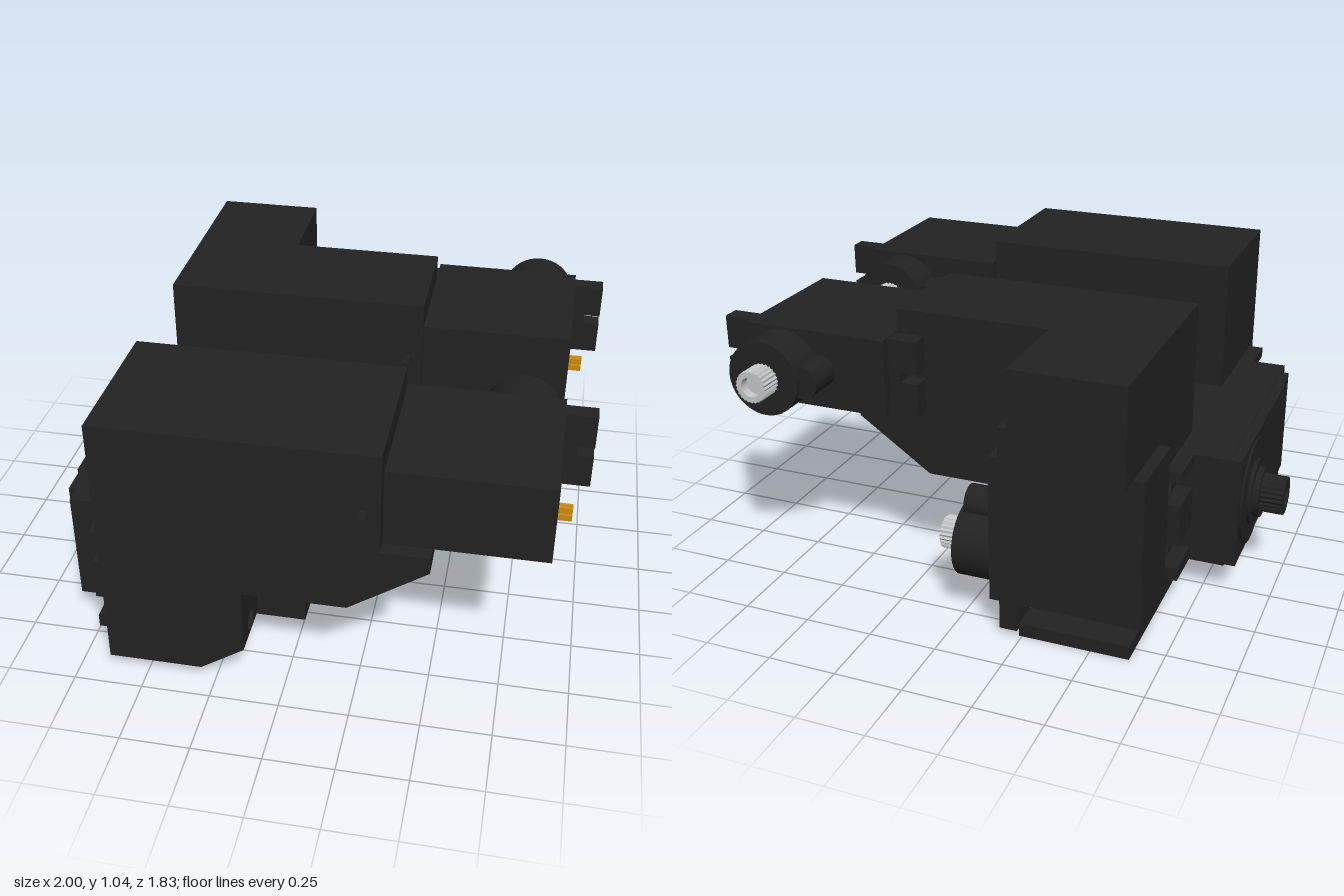
import * as THREE from 'three';

const black = new THREE.MeshStandardMaterial({ color: 0x222222 });
black.name = 'matte black';
const silver = new THREE.MeshStandardMaterial({ color: 0xc4c8c8 });
silver.name = 'silver';
const gold = new THREE.MeshStandardMaterial({ color: 0xd08c10 });
gold.name = 'gold';

function add(parent, name, geometry, material = black) {
  const mesh = new THREE.Mesh(geometry, material);
  mesh.name = name;
  parent.add(mesh);
  return mesh;
}

// Box given by its limits on each axis
function box(parent, name, [x0, x1], [y0, y1], [z0, z1], material) {
  const g = new THREE.BoxGeometry(x1 - x0, y1 - y0, z1 - z0);
  g.translate((x0 + x1) / 2, (y0 + y1) / 2, (z0 + z1) / 2);
  return add(parent, name, g, material);
}

function makeShape(points, holes = []) {
  const shape = new THREE.Shape(points.map(([x, y]) => new THREE.Vector2(x, y)));
  for (const [x, y, r] of holes) {
    shape.holes.push(new THREE.Path().absarc(x, y, r, 0, Math.PI * 2, true));
  }
  return shape;
}

// Side profile extruded from z0 to z1
function prism(parent, name, points, z0, z1, holes) {
  const g = new THREE.ExtrudeGeometry(makeShape(points, holes), { depth: z1 - z0, bevelEnabled: false, curveSegments: 16 });
  return add(parent, name, g.translate(0, 0, z0));
}

// Band running along x whose far end slopes from xLow to xHigh, with optional bolt hole
function slopedBand(parent, name, [y0, y1], [z0, z1], xLow, xHigh, hole) {
  const shape = makeShape([[-z1, y0], [-z0, y0], [-z0, y1], [-z1, y1]],
    hole ? [[-hole[0], hole[1], 0.043]] : []);
  const g = new THREE.ExtrudeGeometry(shape, { depth: 1, bevelEnabled: false, curveSegments: 16 });
  g.rotateY(Math.PI / 2);
  const p = g.attributes.position;
  for (let i = 0; i < p.count; i++) {
    const t = (p.getY(i) - y0) / (y1 - y0);
    p.setX(i, p.getX(i) > 0.5 ? xLow + (xHigh - xLow) * t : -0.64);
  }
  g.computeVertexNormals();
  return add(parent, name, g);
}

// Knurled hollow connector pointing along -z from the origin
function connector(length, r, material) {
  const group = new THREE.Group();
  group.name = 'connector';
  const teeth = 24, points = [];
  for (let i = 0; i < teeth * 2; i++) {
    const a = (i / (teeth * 2)) * Math.PI * 2, rr = i % 2 ? r * 0.92 : r;
    points.push([Math.cos(a) * rr, Math.sin(a) * rr]);
  }
  const g = new THREE.ExtrudeGeometry(makeShape(points, [[0, 0, r * 0.62]]), { depth: length, bevelEnabled: false });
  add(group, 'knurledRing', g.translate(0, 0, -length), material);
  const core = new THREE.CylinderGeometry(r * 0.65, r * 0.65, length * 0.6, 24).rotateX(Math.PI / 2);
  add(group, 'connectorCore', core.translate(0, 0, -length * 0.3), material);
  return group;
}

// Drive unit: housing, slotted mounting plate, round cap, connector and pins
function driveUnit() {
  const unit = new THREE.Group();
  unit.name = 'driveUnit';
  box(unit, 'housing', [0.335, 0.885], [0.668, 0.955], [-0.645, -0.1]);
  const s = 0.018, yc = 0.812;
  prism(unit, 'mountingPlate', [
    [0.225, 0.67], [0.995, 0.67], [0.995, yc - s], [0.935, yc - s], [0.935, yc + s], [0.995, yc + s],
    [0.995, 0.953], [0.225, 0.953], [0.225, yc + s], [0.29, yc + s], [0.29, yc - s], [0.225, yc - s],
  ], -0.61, -0.545);
  const cap = new THREE.CylinderGeometry(0.138, 0.138, 0.145, 40).rotateX(Math.PI / 2);
  add(unit, 'roundCap', cap.translate(0.737, 0.81, -0.7175));
  const boss = new THREE.CylinderGeometry(0.06, 0.06, 0.13, 24).rotateX(Math.PI / 2);
  add(unit, 'sideBoss', boss.translate(0.592, 0.81, -0.71));
  const plug = connector(0.083, 0.06, silver);
  plug.position.set(0.735, 0.81, -0.789);
  unit.add(plug);
  for (const dy of [-0.014, 0.014]) {
    for (const dz of [-0.008, 0.008]) {
      box(unit, 'contactPin', [0.88, 0.933], [0.798 + dy - 0.011, 0.798 + dy + 0.011],
        [-0.207 + dz - 0.006, -0.207 + dz + 0.006], gold);
    }
  }
  return unit;
}

// Upright carrier: upper block, sloped bracket and bolted foot
function carrier(name, z0, z1, footZ, holeZ) {
  const group = new THREE.Group();
  group.name = name;
  prism(group, 'upperBlock', [
    [-0.64, 0.605], [0.5, 0.605], [0.5, 0.667], [0.333, 0.667], [0.333, 1.04], [-0.64, 1.04],
  ], z0, z1, [[0.275, 0.81, 0.02]]);
  slopedBand(group, 'slopedBracket', [0.415, 0.605], [z0, z1], 0.225, 0.5, [holeZ, 0.459]);
  slopedBand(group, 'foot', [0.16, 0.415], footZ, -0.14, -0.14, [holeZ, 0.21]);
  slopedBand(group, 'footTip', [0.05, 0.16], footZ, -0.3, -0.14);
  return group;
}

export function createModel() {
  const model = new THREE.Group();
  model.name = 'model';

  // Carriers
  model.add(carrier('frontCarrier', 0.352, 0.915, [0.705, 0.915], 0.8));
  model.add(carrier('rearCarrier', -0.537, -0.097, [-0.535, -0.3], -0.4));
  box(model, 'rearSideBlock', [-0.64, -0.24], [0.685, 1.04], [-0.918, -0.535]);

  // Central rail and its cover
  box(model, 'rail', [-0.83, 0.03], [0.115, 0.543], [-0.29, 0.67]);
  box(model, 'railCover', [-0.87, -0.83], [0.118, 0.54], [-0.285, 0.48]);
  box(model, 'railCoverEnd', [-0.86, -0.83], [0.118, 0.54], [0.48, 0.6]);

  // Slotted flange ends
  for (const [z0, z1] of [[-0.455, -0.29], [0.67, 0.84]]) {
    for (const y of [[0.115, 0.165], [0.255, 0.412], [0.503, 0.543]]) {
      box(model, 'flangeTab', [-0.7, -0.64], y, [z0, z1]);
    }
  }

  // Base plate
  box(model, 'basePlate', [-0.64, -0.24], [0, 0.075], [-0.54, -0.19]);
  box(model, 'basePlateEnd', [-0.64, -0.24], [0, 0.05], [-0.82, -0.54]);

  // Stepped hub and dark connector on the rail cover
  for (const [r, x] of [[0.2, -0.878], [0.125, -0.892], [0.095, -0.915]]) {
    const g = new THREE.CylinderGeometry(r, r, -0.83 - x, 40).rotateZ(Math.PI / 2);
    add(model, 'hubStep', g.translate((x - 0.83) / 2, 0.327, -0.07));
  }
  const shaft = connector(0.087, 0.072, black);
  shaft.rotation.y = Math.PI / 2;
  shaft.position.set(-0.913, 0.327, -0.07);
  model.add(shaft);

  // Two horizontal drive units and one hanging vertically
  const rear = driveUnit();
  rear.name = 'rearDriveUnit';
  const front = driveUnit();
  front.name = 'frontDriveUnit';
  front.position.z = 0.965;
  const hanging = driveUnit();
  hanging.name = 'hangingDriveUnit';
  hanging.applyMatrix4(new THREE.Matrix4().makeBasis(
    new THREE.Vector3(0, -1, 0), new THREE.Vector3(0, 0, 1), new THREE.Vector3(-1, 0, 0),
  ).setPosition(-0.778, 1.015, -1.495));
  model.add(rear, front, hanging);
  return model;
}
